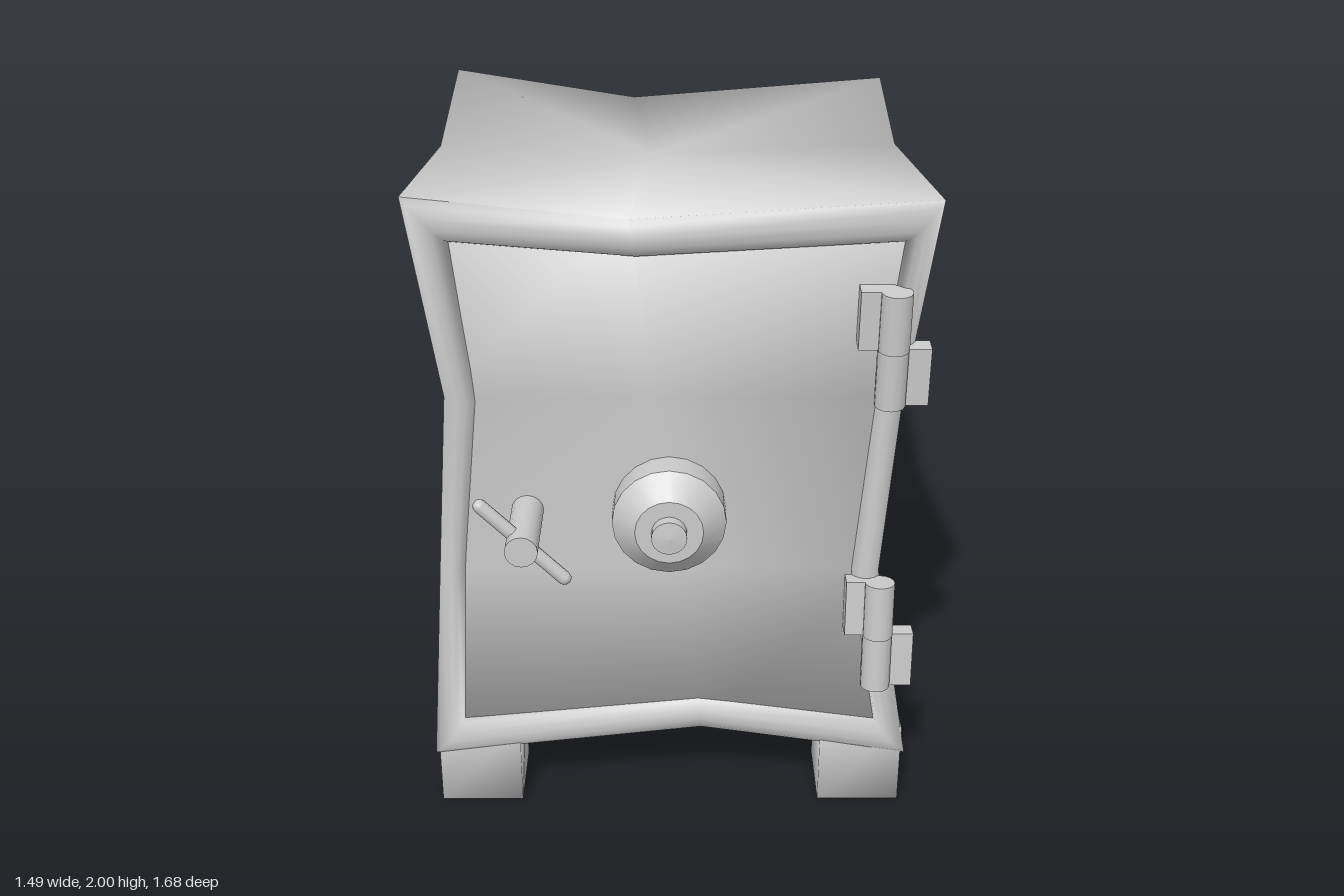
import * as THREE from 'three';
import { mergeVertices } from 'three/addons/utils/BufferGeometryUtils.js';

const mat = new THREE.MeshStandardMaterial({ color: 0xcccccc, side: THREE.DoubleSide });

function add(parent, name, geo, x = 0, y = 0, z = 0) {
  const m = new THREE.Mesh(geo, mat);
  m.name = name;
  m.position.set(x, y, z);
  parent.add(m);
  return m;
}

function build(points, index) {
  const g = new THREE.BufferGeometry();
  g.setAttribute('position', new THREE.Float32BufferAttribute(points.flat(), 3));
  g.setIndex(index);
  g.computeVertexNormals();
  return g;
}

// Quads between successive closed rings of n points
function skin(rings, n) {
  const index = [];
  for (let r = 0; r < rings - 1; r++) {
    for (let i = 0; i < n; i++) {
      const a = r * n + i, b = r * n + (i + 1) % n;
      index.push(a, b, b + n, a, b + n, a + n);
    }
  }
  return index;
}

// Box whose normals blend across its edges
function softBox(w, h, d) {
  const g = new THREE.BoxGeometry(w, h, d);
  g.deleteAttribute('normal');
  g.deleteAttribute('uv');
  const s = mergeVertices(g);
  s.computeVertexNormals();
  return s;
}

// Crooked body: each ring runs front left, front, front right, right,
// back right, back, back left, left
const bodyRings = [
  [[-.745, .18, .63], [.09, .25, .59], [.73, .18, .63], [.69, .27, -.08],
    [.73, .18, -.835], [.1, .25, -.775], [-.745, .18, -.835], [-.71, .27, -.08]],
  [[-.70, .82, .595], [.02, .82, .57], [.62, .82, .595], [.61, .82, -.09],
    [.62, .82, -.73], [.03, .82, -.73], [-.69, .82, -.73], [-.69, .82, -.08]],
  [[-.66, 1.38, .565], [-.05, 1.38, .565], [.665, 1.38, .57], [.655, 1.38, -.1],
    [.665, 1.38, -.77], [-.05, 1.38, -.755], [-.655, 1.38, -.77], [-.655, 1.38, -.06]],
  [[-.74, 2, .63], [-.12, 1.92, .58], [.74, 1.985, .615], [.69, 1.94, -.1],
    [.72, 1.98, -.79], [-.13, 1.92, -.76], [-.74, 2, -.825], [-.71, 1.95, -.04]],
];

function bodyGeometry() {
  const index = skin(4, 8);
  for (let i = 0; i < 8; i++) {
    const j = (i + 1) % 8;
    index.push(32, j, i, 33, 24 + i, 24 + j);
  }
  return build([...bodyRings.flat(), [0, .27, -.08], [-.06, 1.92, -.06]], index);
}

// Rounded door frame, swept from the body's front edge to an inner outline
function frameGeometry() {
  const [b, lo, hi, t] = bodyRings;
  const outer = [b[0], b[1], b[2], lo[2], hi[2], t[2], t[1], t[0], hi[0], lo[0]];
  const inner = [[-.64, .315], [.08, .365], [.62, .31], [.53, .82], [.58, 1.38],
    [.63, 1.855], [-.1, 1.8], [-.61, 1.86], [-.56, 1.36], [-.615, .83]];
  const profile = [[0, 0], [.15, .016], [.4, .026], [.65, .022], [.88, .005], [1, -.035]];
  const points = profile.flatMap(([s, h]) => outer.map((p, i) => [
    p[0] + (inner[i][0] - p[0]) * s, p[1] + (inner[i][1] - p[1]) * s, p[2] + h]));
  return build(points, skin(profile.length, outer.length));
}

// Hinge: two stacked knuckles with leaves pointing opposite ways
function hinge(parent, name, y, z, tilt) {
  const g = new THREE.Group();
  g.name = name;
  [1, -1].forEach((s) => {
    const step = s > 0 ? .004 : -.004;
    add(g, 'hingeKnuckle', new THREE.CylinderGeometry(.045, .045, .178, 14), .62, s * .089, step);
    add(g, 'hingeLeaf', new THREE.BoxGeometry(.1, .178, .055), .62 - s * .05 + (s > 0 ? 0 : .01), s * .089, step - .025);
  });
  g.position.set(0, y, z);
  g.rotation.x = tilt;
  parent.add(g);
}

export function createModel() {
  const safe = new THREE.Group();
  safe.name = 'safe';
  add(safe, 'body', bodyGeometry());
  add(safe, 'doorFrame', frameGeometry());

  // Feet
  for (const x of [-.605, .59]) {
    add(safe, 'frontFoot', softBox(.255, .27, .25), x, .135, .505);
    add(safe, 'backFoot', softBox(.255, .27, .245), x, .135, -.713);
  }

  // Hinges
  hinge(safe, 'upperHinge', 1.555, .632, .06);
  hinge(safe, 'lowerHinge', .63, .652, -.06);

  // Combination dial; doubled points keep the steps sharp
  const dial = [[.168, -.02], [.168, .09], [.168, .09], [.1, .155], [.1, .155],
    [.052, .155], [.052, .155], [.052, .19], [.052, .19], [0, .195]]
    .map(([r, h]) => new THREE.Vector2(r, h));
  add(safe, 'dial', new THREE.LatheGeometry(dial, 20), -.01, 1.02, .57).rotation.x = Math.PI / 2;

  // Handle
  const handle = new THREE.Group();
  handle.name = 'handle';
  handle.position.set(-.43, 1.02, 0);
  add(handle, 'handleShaft', new THREE.CylinderGeometry(.048, .048, .29, 16), 0, 0, .695).rotation.x = Math.PI / 2;
  add(handle, 'handleBar', new THREE.CapsuleGeometry(.021, .33, 3, 10), 0, 0, .78).rotation.z = Math.PI / 4;
  safe.add(handle);
  return safe;
}
